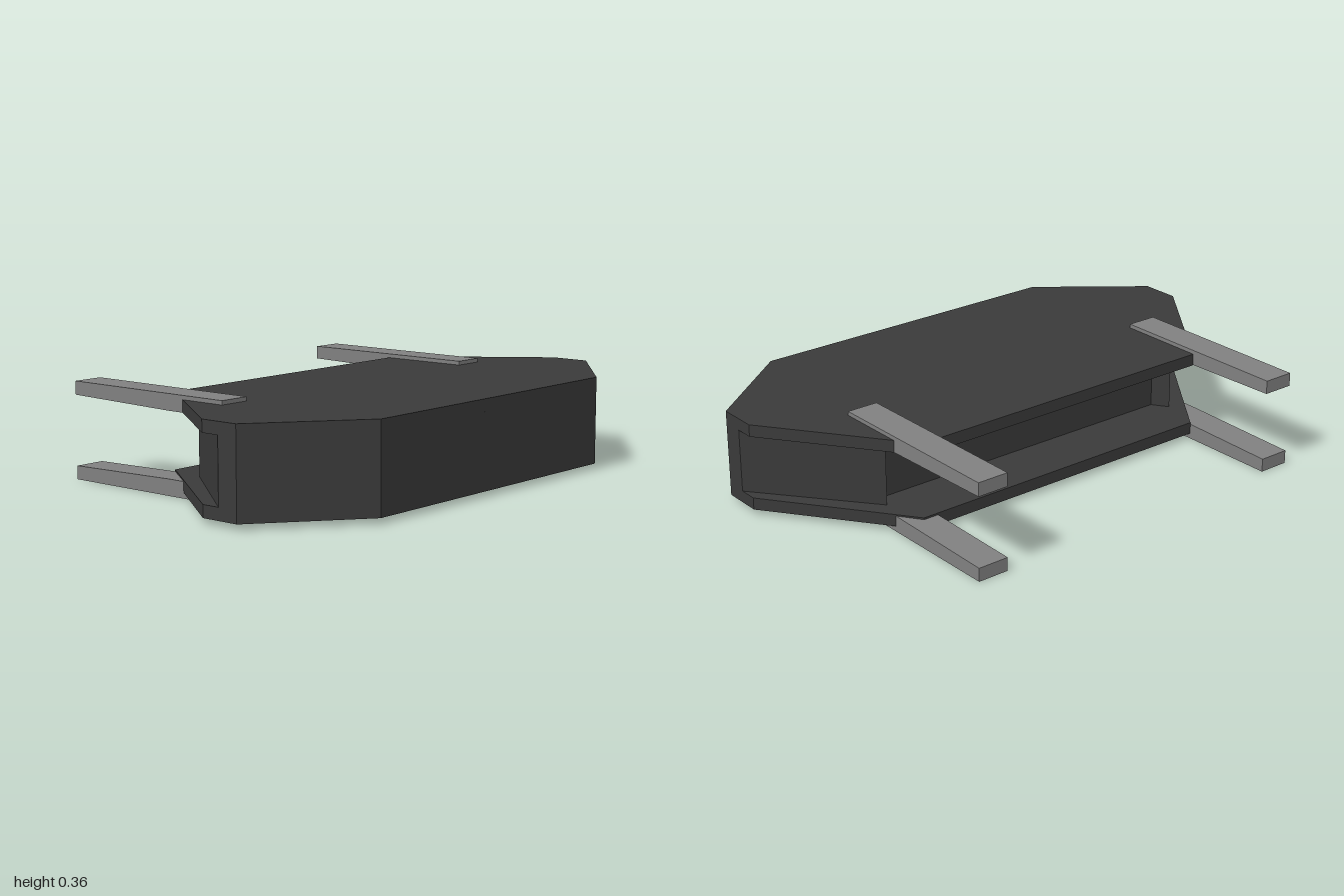
import * as THREE from 'three';

const dark = new THREE.MeshStandardMaterial({ color: 0x3a3a3a });
const grey = new THREE.MeshStandardMaterial({ color: 0x808080 });

// Horizontal slab from half an outline of [x, z] points, mirrored across x
function slab(name, half, y0, y1) {
  const full = [...half, ...half.map(([x, z]) => [-x, z]).reverse()];
  const shape = new THREE.Shape(full.map(([x, z]) => new THREE.Vector2(x, -z)));
  const geo = new THREE.ExtrudeGeometry(shape, { depth: y1 - y0, bevelEnabled: false });
  geo.rotateX(-Math.PI / 2).translate(0, y0, 0);
  const mesh = new THREE.Mesh(geo, dark);
  mesh.name = name;
  return mesh;
}

// Tapered bar running front to back, profile given as [z, y]
function arm(name, x, profile) {
  const width = 0.12;
  const shape = new THREE.Shape(profile.map(([z, y]) => new THREE.Vector2(z, y)));
  const geo = new THREE.ExtrudeGeometry(shape, { depth: width, bevelEnabled: false });
  geo.rotateY(-Math.PI / 2).translate(x + width / 2, 0, 0);
  const mesh = new THREE.Mesh(geo, grey);
  mesh.name = name;
  return mesh;
}

export function createModel() {
  const group = new THREE.Group();
  group.name = 'bumperBlock';

  // Plates above and below, with a shallower core leaving a recess at the back
  const plate = [[0.63, 0.66], [1, 0.37], [1, 0.22], [0.63, -0.28]];
  const core = [[0.63, 0.66], [1, 0.37], [1, 0.29], [0.67, -0.12], [0.63, -0.06]];
  group.add(
    slab('bottomPlate', plate, 0.02, 0.065),
    slab('core', core, 0.065, 0.3),
    slab('topPlate', plate, 0.3, 0.345)
  );

  // Two pairs of mounting arms; the lower ones mirror the upper ones in height
  const upper = [[0.07, 0.36], [0.07, 0.3], [-0.19, 0.3], [-0.66, 0.31], [-0.66, 0.36]];
  const lower = upper.map(([z, y]) => [z, 0.36 - y]);
  for (const [side, x] of [['right', -0.69], ['left', 0.63]]) {
    group.add(arm(side + 'UpperArm', x, upper), arm(side + 'LowerArm', x, lower));
  }
  return group;
}
